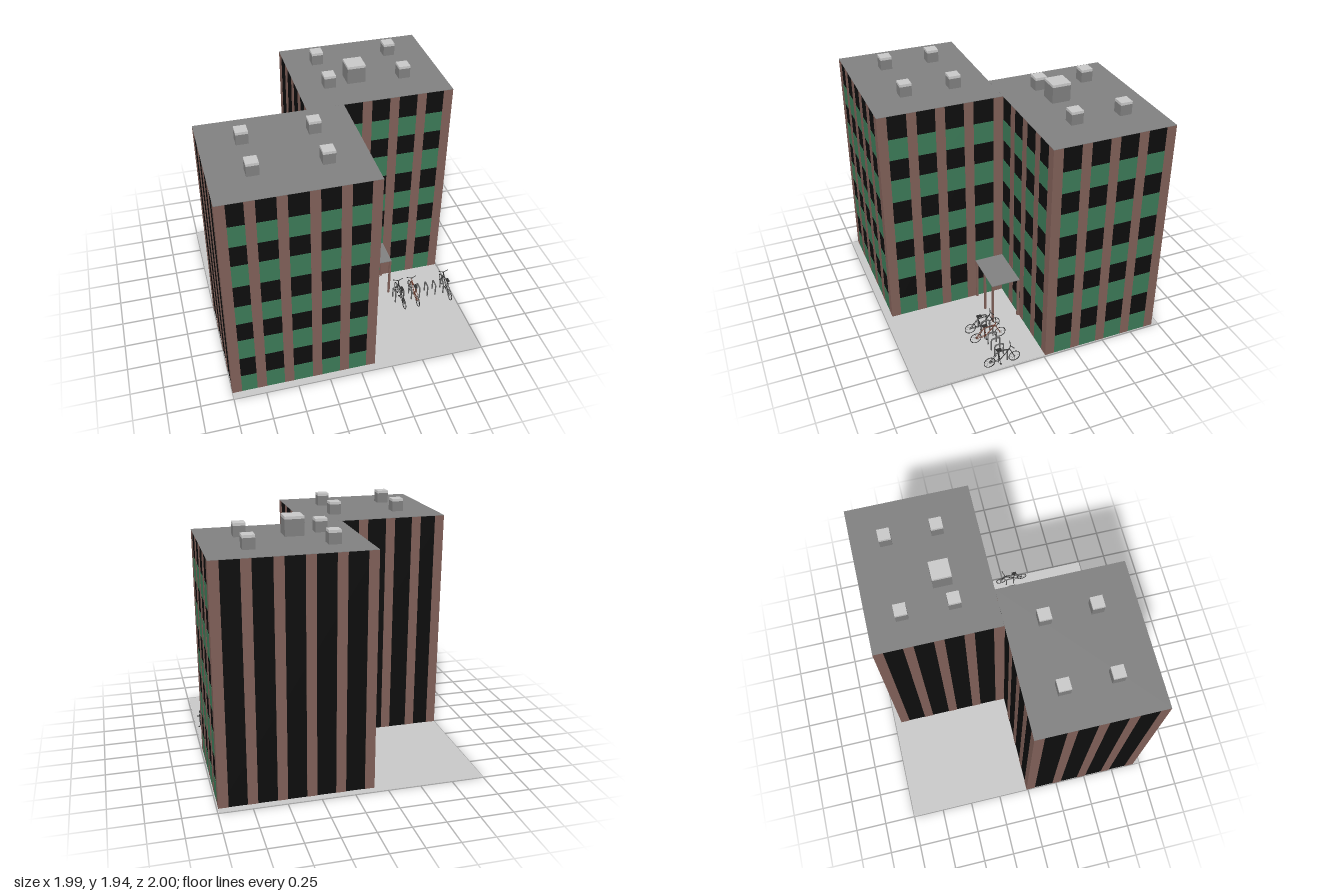
import * as THREE from 'three';

const mat = (name, color) => {
  const m = new THREE.MeshStandardMaterial({ color });
  m.name = name;
  return m;
};

export function createModel() {
  const model = new THREE.Group();
  model.name = 'apartmentBlock';

  const paving = mat('palePaving', 0xc8c8c8);
  const roofGrey = mat('roofGrey', 0x808080);
  const brown = mat('brownPier', 0x806058);
  const green = mat('greenPanel', 0x3c7a57);
  const black = mat('blackGlass', 0x0d0d0d);
  const steel = mat('rackSteel', 0x5e5e5e);
  const dark = mat('darkFrame', 0x303030);
  const rust = mat('rustFrame', 0x6a3626);

  // Box given by its min and max corners
  const box = (parent, name, m, x0, x1, y0, y1, z0, z1) => {
    const mesh = new THREE.Mesh(new THREE.BoxGeometry(x1 - x0, y1 - y0, z1 - z0), m);
    mesh.position.set((x0 + x1) / 2, (y0 + y1) / 2, (z0 + z1) / 2);
    mesh.name = name;
    parent.add(mesh);
    return mesh;
  };
  // Round bar between two points
  const bar = (parent, name, m, a, b, r) => {
    const p = new THREE.Vector3(...a), q = new THREE.Vector3(...b);
    const mesh = new THREE.Mesh(new THREE.CylinderGeometry(r, r, p.distanceTo(q), 8), m);
    mesh.position.copy(p).lerp(q, 0.5);
    mesh.quaternion.setFromUnitVectors(new THREE.Vector3(0, 1, 0), q.sub(p).normalize());
    mesh.name = name;
    parent.add(mesh);
    return mesh;
  };

  const BASE = 0.004, TOP = 1.8, PIER = 0.074, SKIN = 0.003;
  const BANDS = [[BASE, 0.17], [0.36, 0.55], [0.72, 0.89], [1.08, 1.27], [1.44, 1.61]];

  box(model, 'groundSlab', paving, -1, 0.99, 0, BASE, -1, 1);

  // One facade: piers along local x, with green spandrel bands on the street sides
  const facade = (parent, name, len, piers, banded, x, z, turn) => {
    const g = new THREE.Group();
    g.name = name;
    g.position.set(x, 0, z);
    g.rotation.y = turn;
    for (const u of piers) box(g, 'pier', brown, u, u + PIER, BASE, TOP - 0.003, -SKIN, 0);
    if (banded) {
      for (let i = 0; i < piers.length - 1; i++) {
        for (const [y0, y1] of BANDS) {
          box(g, 'spandrelPanel', green, piers[i] + PIER, piers[i + 1], y0, y1, -SKIN, -0.0008);
        }
      }
    }
    parent.add(g);
  };

  const tower = (name, x0, x1, z0, z1, frontPiers, sidePiers) => {
    const g = new THREE.Group();
    g.name = name;
    const w = x1 - x0, d = z1 - z0;
    const flip = (list, len) => list.map(u => len - PIER - u).reverse();
    box(g, 'glassCore', black, x0 + SKIN, x1 - SKIN, BASE, TOP - 0.002, z0 + SKIN, z1 - SKIN);
    box(g, 'roofDeck', roofGrey, x0, x1, TOP - 0.003, TOP, z0, z1);
    facade(g, 'frontFacade', w, frontPiers, true, x0, z1, 0);
    facade(g, 'leftFacade', d, sidePiers, true, x1, z1, Math.PI / 2);
    facade(g, 'backFacade', w, flip(frontPiers, w), false, x1, z0, Math.PI);
    facade(g, 'rightFacade', d, flip(sidePiers, d), false, x0, z0, -Math.PI / 2);
    model.add(g);
  };
  tower('frontTower', -1, 0.125, -0.013, 0.943,
    [0, 0.193, 0.406, 0.626, 0.84, 1.051], [0, 0.218, 0.432, 0.651, 0.882]);
  tower('rearTower', -0.16, 0.99, -0.947, -0.0135,
    [0, 0.217, 0.433, 0.648, 0.865, 1.076], [0, 0.212, 0.427, 0.645, 0.8595]);

  // Rooftop vents with pale caps
  const vent = (name, x, z, size, top) => {
    const h = size / 2;
    box(model, name, roofGrey, x - h, x + h, TOP, top - 0.02, z - h, z + h);
    box(model, name + 'Cap', paving, x - h, x + h, top - 0.02, top, z - h, z + h);
  };
  for (const [xs, zs] of [[[0.09, 0.685], [-0.695, -0.315]], [[-0.695, -0.175], [0.265, 0.645]]]) {
    for (const x of xs) for (const z of zs) vent('roofVent', x, z, 0.09, 1.9);
  }
  vent('liftHousing', 0.305, -0.365, 0.142, 1.943);

  // Entrance canopy on slim posts
  box(model, 'canopyRoof', roofGrey, 0.125, 0.488, 0.36, 0.366, -0.0135, 0.22);
  for (const [x, z] of [[0.134, 0.211], [0.31, 0.211], [0.48, 0.211], [0.48, -0.004]]) {
    box(model, 'canopyPost', brown, x - 0.008, x + 0.008, BASE, 0.36, z - 0.008, z + 0.008);
  }

  // Row of hoop-shaped bicycle stands
  const hoop = new THREE.CurvePath();
  const v = (y, z) => new THREE.Vector3(0, y, z);
  hoop.add(new THREE.LineCurve3(v(BASE, 0.275), v(0.09, 0.275)));
  hoop.add(new THREE.QuadraticBezierCurve3(v(0.09, 0.275), v(0.11, 0.275), v(0.11, 0.295)));
  hoop.add(new THREE.LineCurve3(v(0.11, 0.295), v(0.11, 0.325)));
  hoop.add(new THREE.QuadraticBezierCurve3(v(0.11, 0.325), v(0.11, 0.345), v(0.09, 0.345)));
  hoop.add(new THREE.LineCurve3(v(0.09, 0.345), v(BASE, 0.345)));
  const hoopGeo = new THREE.TubeGeometry(hoop, 40, 0.006, 8);
  for (let i = 0; i < 7; i++) {
    const stand = new THREE.Mesh(hoopGeo, steel);
    stand.name = 'bicycleStand';
    stand.position.x = 0.497 + i * 0.0714;
    model.add(stand);
  }

  // Bicycles, front wheel towards the building
  const tyreGeo = new THREE.TorusGeometry(0.044, 0.003, 6, 28);
  const bicycle = (x, paint) => {
    const g = new THREE.Group();
    g.name = 'bicycle';
    g.position.x = x;
    const rear = [0, 0.051, 0.428], front = [0, 0.051, 0.227], crank = [0, 0.05, 0.345];
    const seat = [0, 0.13, 0.362], head = [0, 0.135, 0.268], stem = [0, 0.162, 0.26];
    for (const hub of [rear, front]) {
      const tyre = new THREE.Mesh(tyreGeo, dark);
      tyre.name = 'tyre';
      tyre.position.set(...hub);
      tyre.rotation.y = Math.PI / 2;
      g.add(tyre);
      bar(g, 'hub', steel, [-0.008, hub[1], hub[2]], [0.008, hub[1], hub[2]], 0.004);
      for (let i = 0; i < 4; i++) {
        const c = 0.044 * Math.cos(i * Math.PI / 4), s = 0.044 * Math.sin(i * Math.PI / 4);
        bar(g, 'spoke', steel, [0, hub[1] - c, hub[2] - s], [0, hub[1] + c, hub[2] + s], 0.0005);
      }
    }
    for (const [a, b] of [[seat, crank], [seat, head], [crank, head]]) bar(g, 'frameTube', paint, a, b, 0.0035);
    for (const s of [-1, 1]) {
      const side = p => [s * 0.006, p[1], p[2]];
      bar(g, 'chainStay', paint, side(rear), side(crank), 0.002);
      bar(g, 'seatStay', paint, side(rear), side(seat), 0.002);
      bar(g, 'forkBlade', paint, side(front), side(head), 0.0025);
      bar(g, 'handlebar', dark, stem, [s * 0.042, 0.17, 0.248], 0.003);
      bar(g, 'crankArm', dark, [s * 0.008, 0.05, 0.345], [s * 0.012, 0.05 - s * 0.022, 0.345], 0.002);
      box(g, 'pedal', dark, s * 0.018 - 0.007, s * 0.018 + 0.007,
        0.047 - s * 0.022, 0.051 - s * 0.022, 0.339, 0.351);
    }
    bar(g, 'headTube', paint, head, stem, 0.0035);
    bar(g, 'seatPost', steel, seat, [0, 0.15, 0.358], 0.003);
    box(g, 'saddle', dark, -0.012, 0.012, 0.15, 0.158, 0.334, 0.374);
    model.add(g);
  };
  bicycle(0.545, dark);
  bicycle(0.665, rust);
  bicycle(0.952, dark);

  return model;
}
